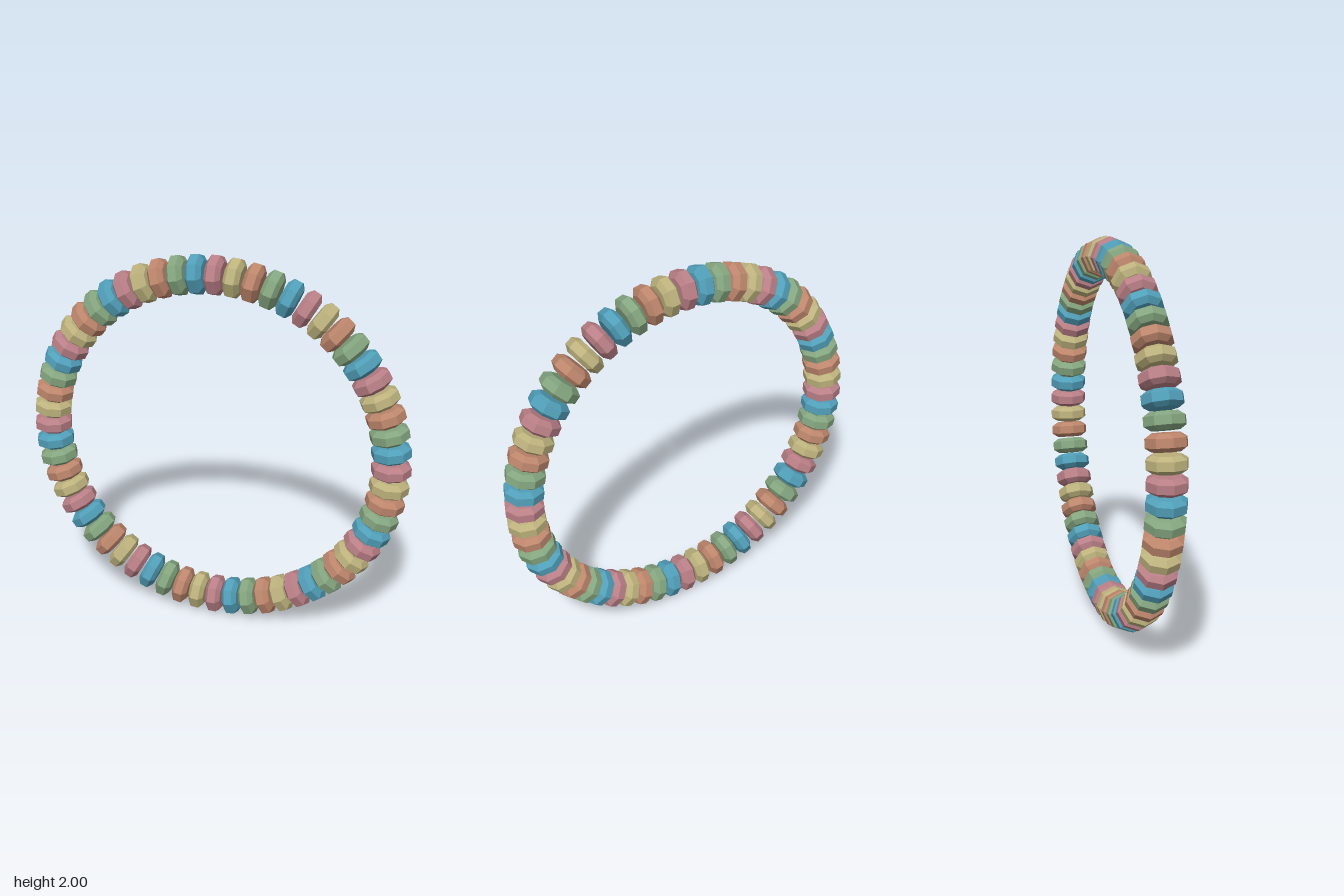
import * as THREE from 'three';

const BEADS = 60;
const RING_RADIUS = 0.9;

// Faceted octagonal bead: flat caps, chamfers and a straight outer band, axis along y
function beadGeometry() {
  const profile = [
    [0, -0.041], [0.07, -0.041], [0.1, -0.021],
    [0.1, 0.021], [0.07, 0.041], [0, 0.041],
  ].map(([r, y]) => new THREE.Vector2(r, y));
  const geometry = new THREE.LatheGeometry(profile, 8).toNonIndexed();
  geometry.computeVertexNormals();
  return geometry;
}

function material(name, color) {
  const m = new THREE.MeshStandardMaterial({ color });
  m.name = name;
  return m;
}

export function createModel() {
  const group = new THREE.Group();
  group.name = 'beadRing';
  const geometry = beadGeometry();

  // Colours repeat clockwise from the top bead
  const materials = [
    material('dusty pink', 0xb97f86),
    material('sand yellow', 0xbdb27d),
    material('terracotta', 0xbd866c),
    material('sage green', 0x84a57f),
    material('teal blue', 0x519fb9),
  ];

  for (let i = 0; i < BEADS; i++) {
    const angle = (i / BEADS) * Math.PI * 2;
    const bead = new THREE.Mesh(geometry, materials[i % materials.length]);
    bead.name = `bead${i + 1}`;
    bead.position.set(
      RING_RADIUS * Math.sin(angle),
      1 + RING_RADIUS * Math.cos(angle),
      0,
    );
    // Bead axis follows the ring's tangent
    bead.rotation.z = -angle - Math.PI / 2;
    group.add(bead);
  }
  return group;
}
